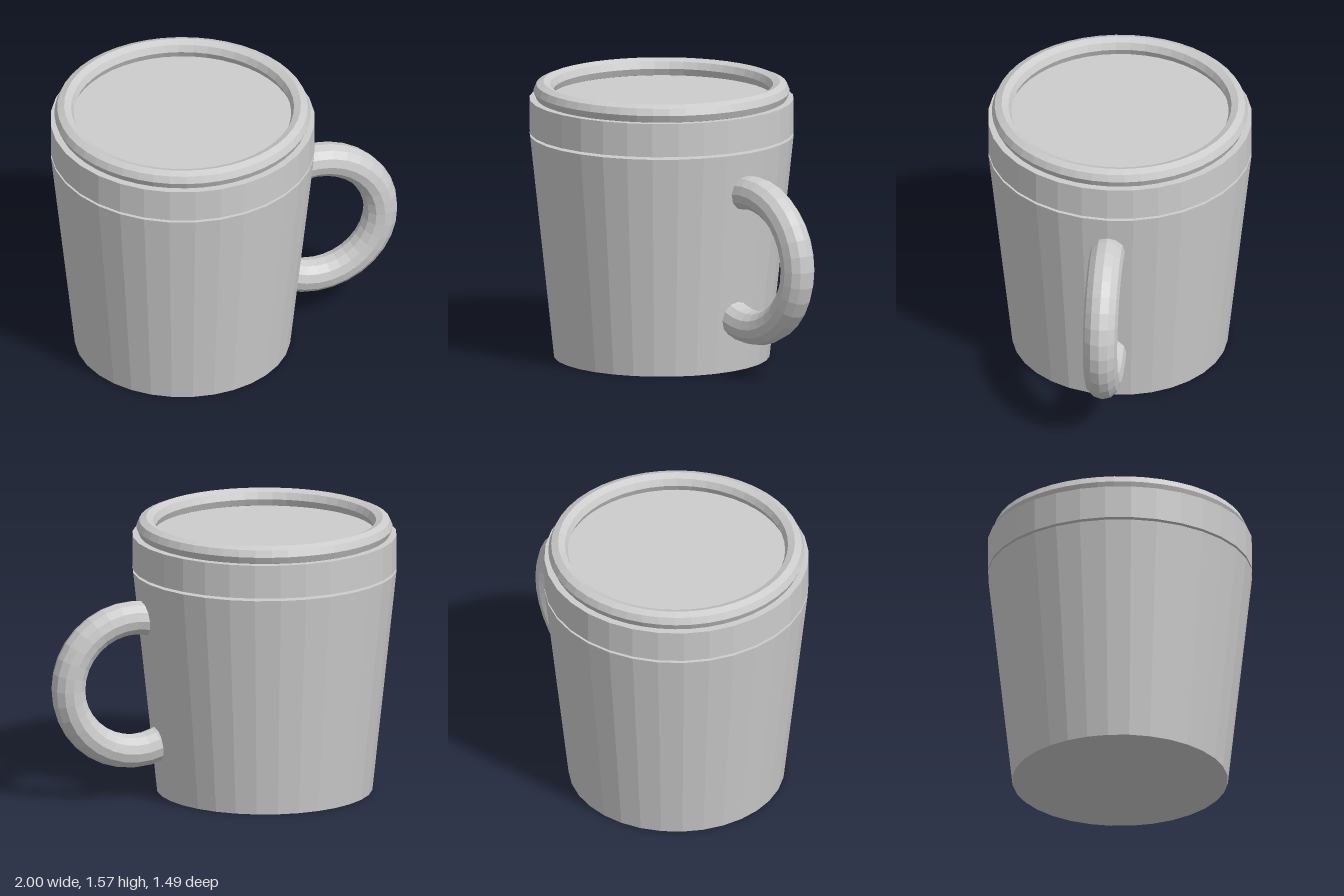
import * as THREE from 'three';

const AXIS_X = -0.257; // centre line of the cup

export function createModel() {
  const group = new THREE.Group();
  group.name = 'mug';
  const grey = new THREE.MeshStandardMaterial({ color: 0xcccccc, flatShading: true });
  grey.name = 'grey';

  const add = (name, geometry, x, y) => {
    const mesh = new THREE.Mesh(geometry, grey);
    mesh.name = name;
    mesh.position.set(x, y, 0);
    group.add(mesh);
    return mesh;
  };

  // Tapered cup body
  add('body', new THREE.CylinderGeometry(0.743, 0.607, 1.27, 32), AXIS_X, 0.635);

  // Lid band, separated from the body by a thin gap
  add('lid', new THREE.CylinderGeometry(0.743, 0.743, 0.19, 32), AXIS_X, 1.38);

  // Raised eight-sided rim, partly sunk into the lid
  const rim = new THREE.TorusGeometry(0.665, 0.055, 8, 48);
  rim.rotateX(-Math.PI / 2);
  add('rim', rim, AXIS_X, 1.516);

  // Round handle; its open ends are buried inside the body
  const handle = new THREE.TorusGeometry(0.385, 0.097, 12, 24, Math.PI * 1.5);
  handle.rotateZ(-Math.PI * 0.75);
  add('handle', handle, 0.518, 0.663);

  return group;
}
